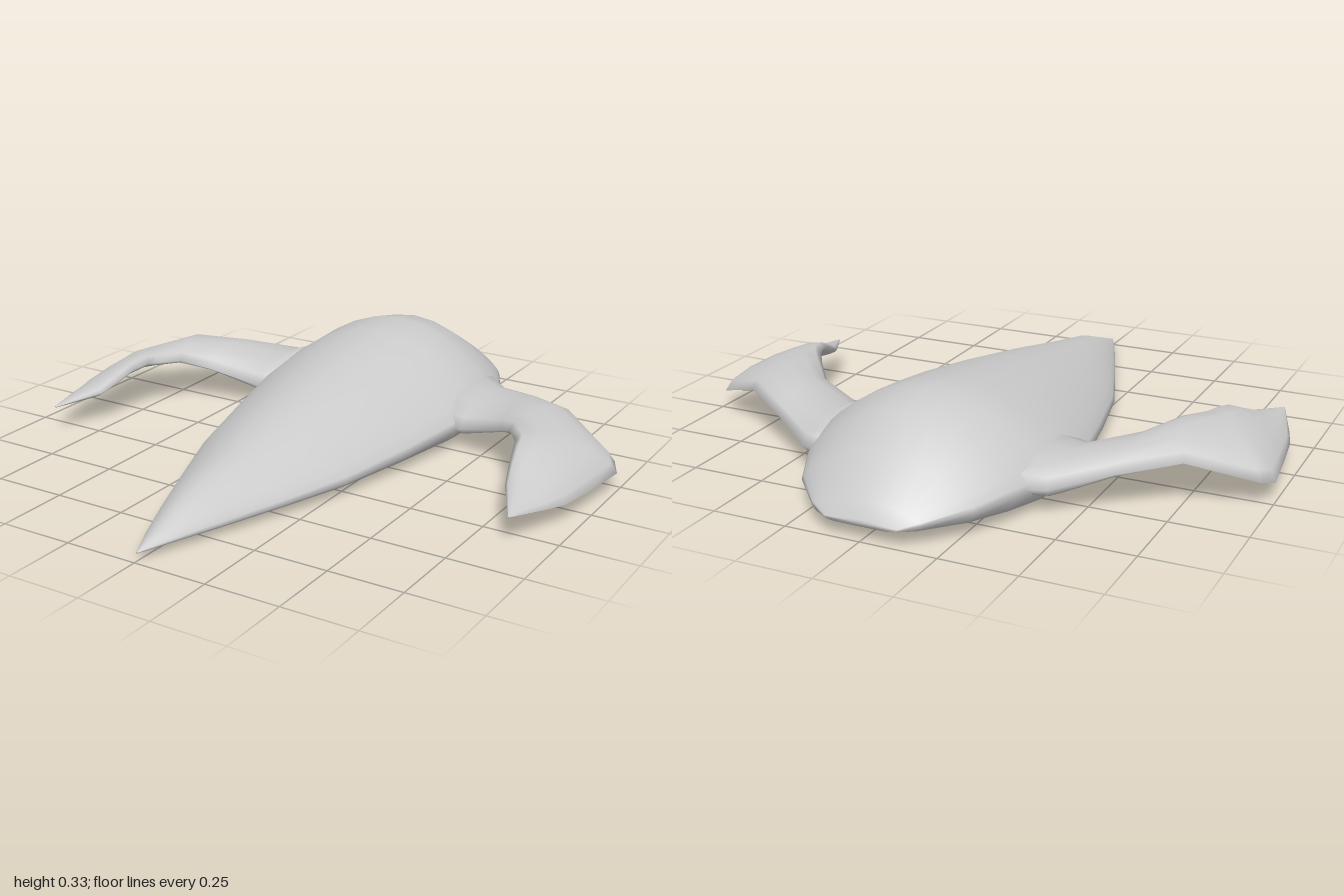
import * as THREE from 'three';

const material = new THREE.MeshStandardMaterial({ color: 0xcccccc });

// Skin closed rings (counter-clockwise seen from the end) and cap both ends
function loft(rings) {
  const n = rings[0].length, last = rings.length - 1;
  const points = rings.flat(), index = [];
  for (let i = 0; i < last; i++) {
    for (let j = 0; j < n; j++) {
      const k = (j + 1) % n;
      const a = i * n + j, b = i * n + k, c = a + n, d = b + n;
      index.push(a, b, c, b, d, c);
    }
  }
  for (const r of [0, last]) {
    const centre = rings[r].reduce((s, p) => s.add(p), new THREE.Vector3()).divideScalar(n);
    const c = points.push(centre) - 1;
    for (let j = 0; j < n; j++) {
      const a = r * n + j, b = r * n + (j + 1) % n;
      index.push(...(r ? [c, a, b] : [c, b, a]));
    }
  }
  const geometry = new THREE.BufferGeometry().setFromPoints(points);
  geometry.setIndex(index);
  geometry.computeVertexNormals();
  return geometry;
}

// Body stations: z, half width, top, rim height, bottom
const bodyStations = [
  [-0.99, 0.12, 0.065, 0.055, 0.045],
  [-0.96, 0.18, 0.115, 0.07, 0.04],
  [-0.84, 0.29, 0.22, 0.08, 0.028],
  [-0.70, 0.36, 0.30, 0.085, 0.012],
  [-0.56, 0.41, 0.33, 0.085, 0.001],
  [-0.42, 0.42, 0.317, 0.08, 0.001],
  [-0.26, 0.405, 0.297, 0.07, 0.005],
  [0.00, 0.35, 0.257, 0.055, 0.01],
  [0.27, 0.285, 0.207, 0.045, 0.015],
  [0.50, 0.20, 0.16, 0.04, 0.018],
  [0.72, 0.115, 0.12, 0.037, 0.021],
  [0.88, 0.05, 0.065, 0.034, 0.024],
  [0.985, 0.003, 0.03, 0.028, 0.025],
];

// Domed back over a nearly flat belly
function bodyRing([z, w, top, rim, bottom]) {
  const ring = [];
  const steps = 14;
  for (let i = 0; i <= steps; i++) {
    const x = Math.cos(Math.PI * i / steps);
    const dome = 0.6 * Math.cos(x * Math.PI / 2) + 0.4 * Math.sqrt(Math.max(0, 1 - x * x));
    ring.push(new THREE.Vector3(w * x, rim + (top - rim) * dome, z));
  }
  for (const x of [-0.92, -0.75, -0.3, 0.3, 0.75, 0.92]) {
    const drop = Math.abs(x) > 0.9 ? 0.65 : Math.abs(x) > 0.7 ? 0.92 : 1;
    ring.push(new THREE.Vector3(w * x, rim + (bottom - rim) * drop, z));
  }
  return ring;
}

// Flipper stations: leading edge xyz, trailing edge xyz, rise above and drop below the chord
const flipperStations = [
  [[0.28, 0.11, -0.72], [0.30, 0.09, -0.24], 0.09, 0.06],
  [[0.42, 0.09, -0.63], [0.42, 0.08, -0.255], 0.065, 0.05],
  [[0.58, 0.125, -0.52], [0.59, 0.13, -0.20], 0.06, 0.025],
  [[0.76, 0.15, -0.40], [0.66, 0.17, -0.12], 0.055, 0.02],
  [[0.965, 0.075, -0.275], [0.71, 0.175, -0.045], 0.055, 0.015],
  [[0.995, 0.06, -0.22], [0.725, 0.18, -0.015], 0.055, 0.015],
  [[0.975, 0.06, -0.05], [0.745, 0.17, 0.05], 0.05, 0.015],
  [[0.955, 0.065, 0.10], [0.765, 0.14, 0.12], 0.04, 0.015],
  [[0.93, 0.075, 0.18], [0.785, 0.115, 0.18], 0.03, 0.015],
  [[0.873, 0.095, 0.335], [0.867, 0.095, 0.335], 0.003, 0.003],
];

function flipperRing([lead, trail, rise, drop], side) {
  const a = new THREE.Vector3(...lead), b = new THREE.Vector3(...trail);
  const ring = [];
  for (let i = 0; i < 12; i++) {
    const t = Math.PI * 2 * i / 12;
    const p = a.clone().lerp(b, (1 - Math.cos(t)) / 2);
    const s = Math.sin(t);
    p.y += s > 0 ? s * rise : s * drop;
    p.x *= side;
    ring.push(p);
  }
  return side > 0 ? ring : ring.reverse();
}

export function createModel() {
  const group = new THREE.Group();
  const add = (name, rings) => {
    const mesh = new THREE.Mesh(loft(rings), material);
    mesh.name = name;
    group.add(mesh);
  };
  add('body', bodyStations.map(bodyRing));
  add('leftFlipper', flipperStations.map(s => flipperRing(s, 1)));
  add('rightFlipper', flipperStations.map(s => flipperRing(s, -1)));
  return group;
}
